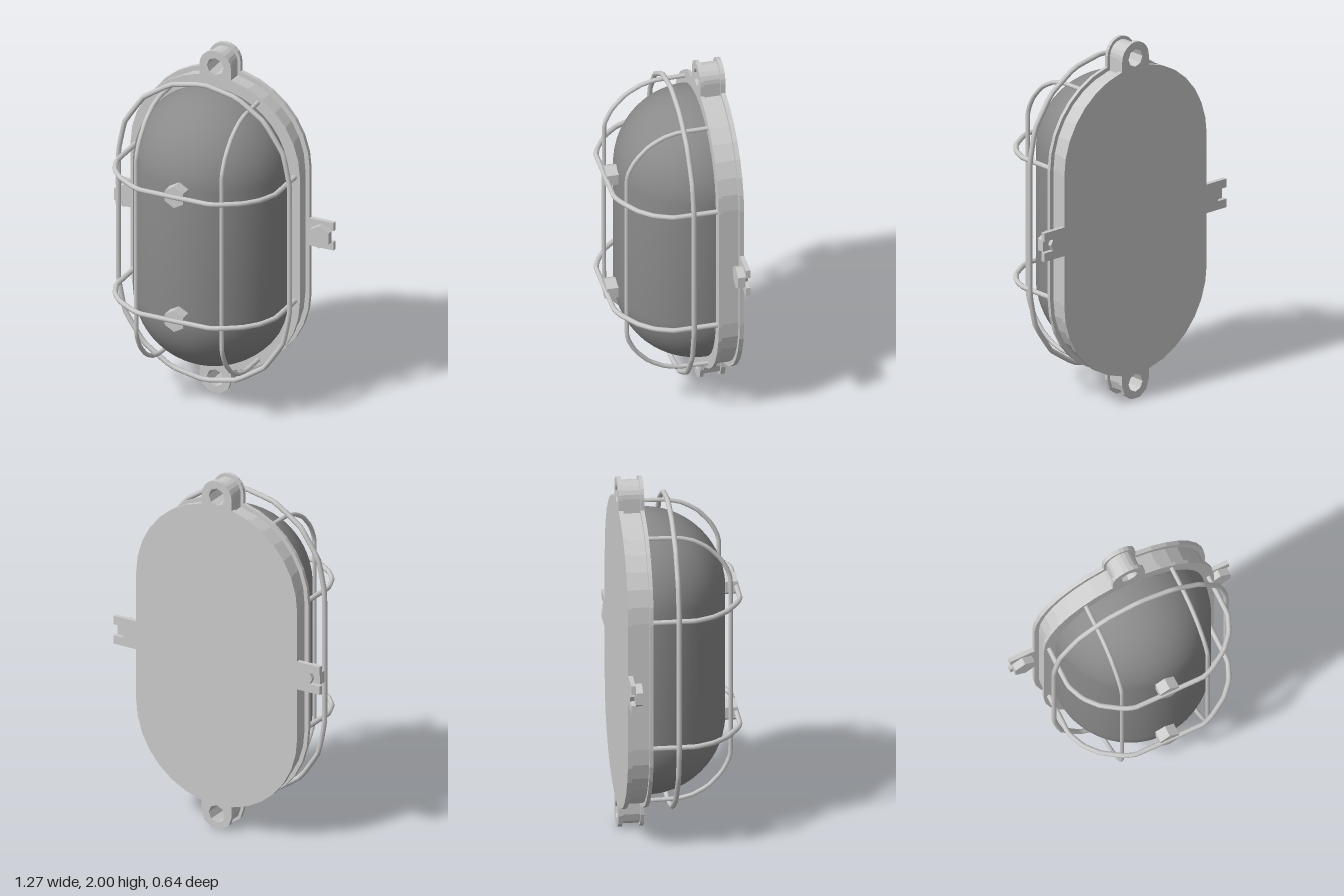
import * as THREE from 'three';

const light = new THREE.MeshStandardMaterial({ color: 0xcacaca });
light.name = 'light grey metal';
const dark = new THREE.MeshStandardMaterial({ color: 0x8a8a8a });
dark.name = 'dark grey cover';

const HALF = 0.362; // half length of the straight sides

function arc(cx, cy, r, from, to, n) {
  return Array.from({ length: n + 1 }, (_, i) => {
    const a = from + ((to - from) * i) / n;
    return new THREE.Vector2(cx + r * Math.cos(a), cy + r * Math.sin(a));
  });
}

// closed outline with half-round ends
function stadium(r, n) {
  return [...arc(0, HALF, r, 0, Math.PI, n), ...arc(0, -HALF, r, Math.PI, 2 * Math.PI, n)];
}

export function createModel() {
  const model = new THREE.Group();
  model.name = 'bulkheadLamp';
  const lamp = new THREE.Group();
  lamp.name = 'lamp';
  lamp.position.y = 1;
  model.add(lamp);

  function add(name, geometry, material = light, parent = lamp) {
    const mesh = new THREE.Mesh(geometry, material);
    mesh.name = name;
    parent.add(mesh);
    return mesh;
  }

  function slab(name, points, z0, z1, hole, parent) {
    const shape = new THREE.Shape(points);
    if (hole) shape.holes.push(new THREE.Path(hole));
    const geometry = new THREE.ExtrudeGeometry(shape, { depth: z1 - z0, bevelEnabled: false });
    return add(name, geometry.translate(0, 0, z0), light, parent);
  }

  function wire(name, points, closed = false, r = 0.014) {
    const path = new THREE.CatmullRomCurve3(points, closed, 'catmullrom', 0.1);
    return add(name, new THREE.TubeGeometry(path, points.length * 5, r, 8, closed));
  }

  function hexBolt(name, x, y, z0, z1, r) {
    const bolt = add(name, new THREE.CylinderGeometry(r, r, z1 - z0, 6).toNonIndexed());
    bolt.geometry.computeVertexNormals();
    bolt.rotation.x = Math.PI / 2;
    bolt.position.set(x, y, (z0 + z1) / 2);
  }

  // housing: back plate, recessed wall, front flange
  slab('backPlate', stadium(0.498, 16), -0.326, -0.302);
  slab('housingWall', stadium(0.472, 16), -0.302, -0.21);
  slab('frontFlange', stadium(0.495, 16), -0.21, -0.19);

  // mounting eyes at top and bottom
  for (const [name, turn, n] of [['topEye', 0, 10], ['bottomEye', Math.PI, 5]]) {
    const eye = new THREE.Group();
    eye.name = name;
    eye.rotation.z = turn;
    lamp.add(eye);
    const layers = [
      ['eyeBack', 0.093, -0.326, -0.302],
      ['eyeNeck', 0.076, -0.302, -0.21],
      ['eyeFront', 0.093, -0.21, -0.19],
    ];
    for (const [part, r, z0, z1] of layers) {
      const outline = [
        new THREE.Vector2(-r, 0.82),
        new THREE.Vector2(r, 0.82),
        ...arc(0, 0.907, r, 0, Math.PI, n),
      ];
      slab(part, outline, z0, z1, arc(0, 0.91, 0.049, 0, Math.PI * 1.75, 7), eye);
    }
  }

  // slotted side tabs with clamp bolts
  for (const [name, side] of [['left', 1], ['right', -1]]) {
    const tab = [
      [0.47, -0.08], [0.637, -0.08], [0.637, -0.032], [0.575, -0.032],
      [0.59, 0], [0.575, 0.032], [0.637, 0.032], [0.637, 0.08], [0.47, 0.08],
    ].map(([x, y]) => new THREE.Vector2(x * side, y));
    slab(name + 'Tab', tab, -0.326, -0.302);
    hexBolt(name + 'TabBolt', side * 0.57, 0, -0.303, -0.262, 0.065);
  }

  // domed cover: half sphere parted at its equator
  const dome = new THREE.SphereGeometry(0.428, 36, 33, 0, Math.PI);
  const pos = dome.attributes.position;
  for (let i = 0; i < pos.count; i++) pos.setY(i, pos.getY(i) + Math.sign(pos.getY(i)) * HALF);
  dome.translate(0, 0, -0.18);
  add('domeCover', dome, dark);
  slab('domeRim', stadium(0.428, 18), -0.195, -0.18).material = dark;

  // guard loop around the cover
  const loop = stadium(0.5, 8).map((p) => new THREE.Vector3(p.x, p.y, -0.055));
  wire('guardLoop', loop, true);

  // upright guard wires
  const upright = [[0.753, -0.2], [0.75, -0.03], [0.73, 0.05], [0.685, 0.13], [0.61, 0.2], [0.5, 0.247]];
  const uprightPath = [...upright, ...upright.map(([y, z]) => [-y, z]).reverse()];
  for (const [name, x] of [['leftUprightWire', 0.25], ['rightUprightWire', -0.25]]) {
    wire(name, uprightPath.map(([y, z]) => new THREE.Vector3(x, y, z)), false, 0.012);
  }

  // cross guard wires, each held by a bolt
  const cross = [[0.465, -0.2], [0.465, 0.04], [0.425, 0.14], [0.36, 0.215], [0.26, 0.28], [0.195, 0.304]];
  const crossPath = [...cross, ...cross.map(([x, z]) => [-x, z]).reverse()];
  for (const [name, y] of [['upper', 0.362], ['lower', -0.362]]) {
    wire(name + 'CrossWire', crossPath.map(([x, z]) => new THREE.Vector3(x, y, z)));
    hexBolt(name + 'GuardBolt', 0, y, 0.235, 0.308, 0.062);
  }

  return model;
}
